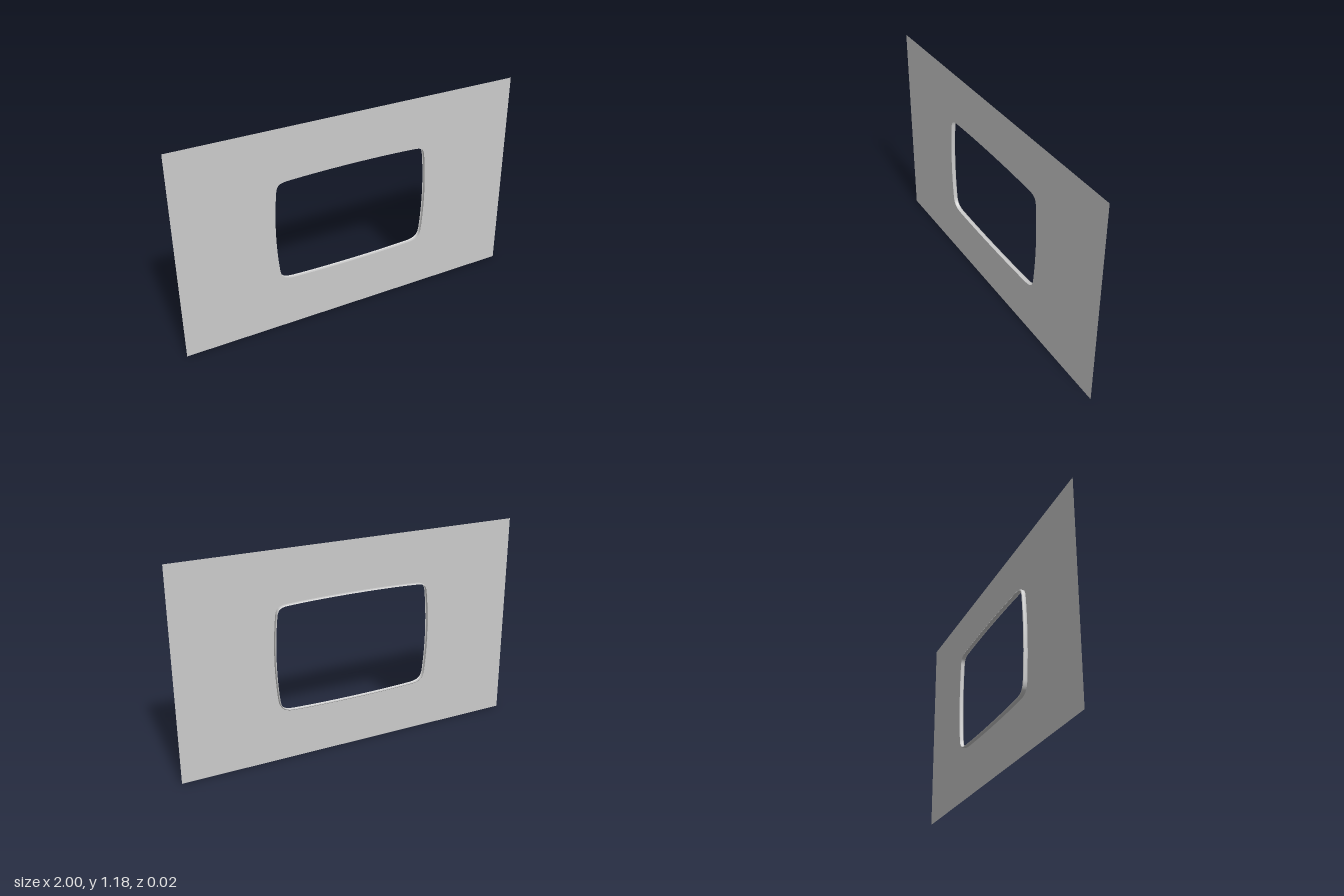
import * as THREE from 'three';

const WIDTH = 2, HEIGHT = 1.185, FRONT = 0.012, BACK = -0.012, MID_Y = 0.594;

// Outline of the opening: bowed sides, tight upper and wider lower corners
function openingPoints() {
  const half = new THREE.Path();
  half.moveTo(0, 0.897);
  half.quadraticCurveTo(0.22, 0.897, 0.385, 0.888);
  half.bezierCurveTo(0.425, 0.885, 0.439, 0.875, 0.444, 0.84);
  half.bezierCurveTo(0.462, 0.69, 0.462, 0.52, 0.444, 0.365);
  half.bezierCurveTo(0.438, 0.318, 0.42, 0.3, 0.36, 0.297);
  half.quadraticCurveTo(0.2, 0.29, 0, 0.29);
  const right = half.getPoints(12);
  const left = right.slice(1, -1).reverse().map(p => new THREE.Vector2(-p.x, p.y));
  return [...right, ...left];
}

// Sweeps a rim section of [inset, z] pairs around the outline
function rimGeometry(outline, section) {
  const n = outline.length, positions = [], index = [];
  section.forEach(([inset, z]) => {
    outline.forEach((p, i) => {
      const a = outline[(i + n - 1) % n], b = outline[(i + 1) % n];
      const t = new THREE.Vector2().subVectors(b, a).normalize();
      positions.push(p.x + t.y * inset, p.y - t.x * inset, z);
    });
  });
  for (let r = 0; r < section.length - 1; r++) {
    for (let i = 0; i < n; i++) {
      const j = (i + 1) % n, a = r * n + i, b = r * n + j;
      index.push(a, b, a + n, b, b + n, a + n);
    }
  }
  const geometry = new THREE.BufferGeometry();
  geometry.setAttribute('position', new THREE.Float32BufferAttribute(positions, 3));
  geometry.setIndex(index);
  geometry.computeVertexNormals();
  return geometry;
}

export function createModel() {
  const group = new THREE.Group();
  group.name = 'windowPanel';
  const material = new THREE.MeshStandardMaterial({ color: 0xcccccc, side: THREE.DoubleSide });
  const outline = openingPoints();

  // Thin flat sheet with the opening cut out
  const w = WIDTH / 2;
  const shape = new THREE.Shape([[-w, 0], [w, 0], [w, HEIGHT], [-w, HEIGHT]]
    .map(([x, y]) => new THREE.Vector2(x, y)));
  shape.holes.push(new THREE.Path(outline));
  const panel = new THREE.Mesh(new THREE.ShapeGeometry(shape), material);
  panel.name = 'panel';
  panel.position.z = FRONT;
  group.add(panel);

  // Lip turned backwards around the opening, with softly rolled edges
  const section = [[0, FRONT], [-0.003, FRONT - 0.001], [-0.005, FRONT - 0.005],
    [-0.005, BACK + 0.005], [-0.003, BACK + 0.001], [0, BACK]];
  const rim = new THREE.Mesh(rimGeometry(outline, section), material);
  rim.name = 'openingRim';
  group.add(rim);

  return group;
}
